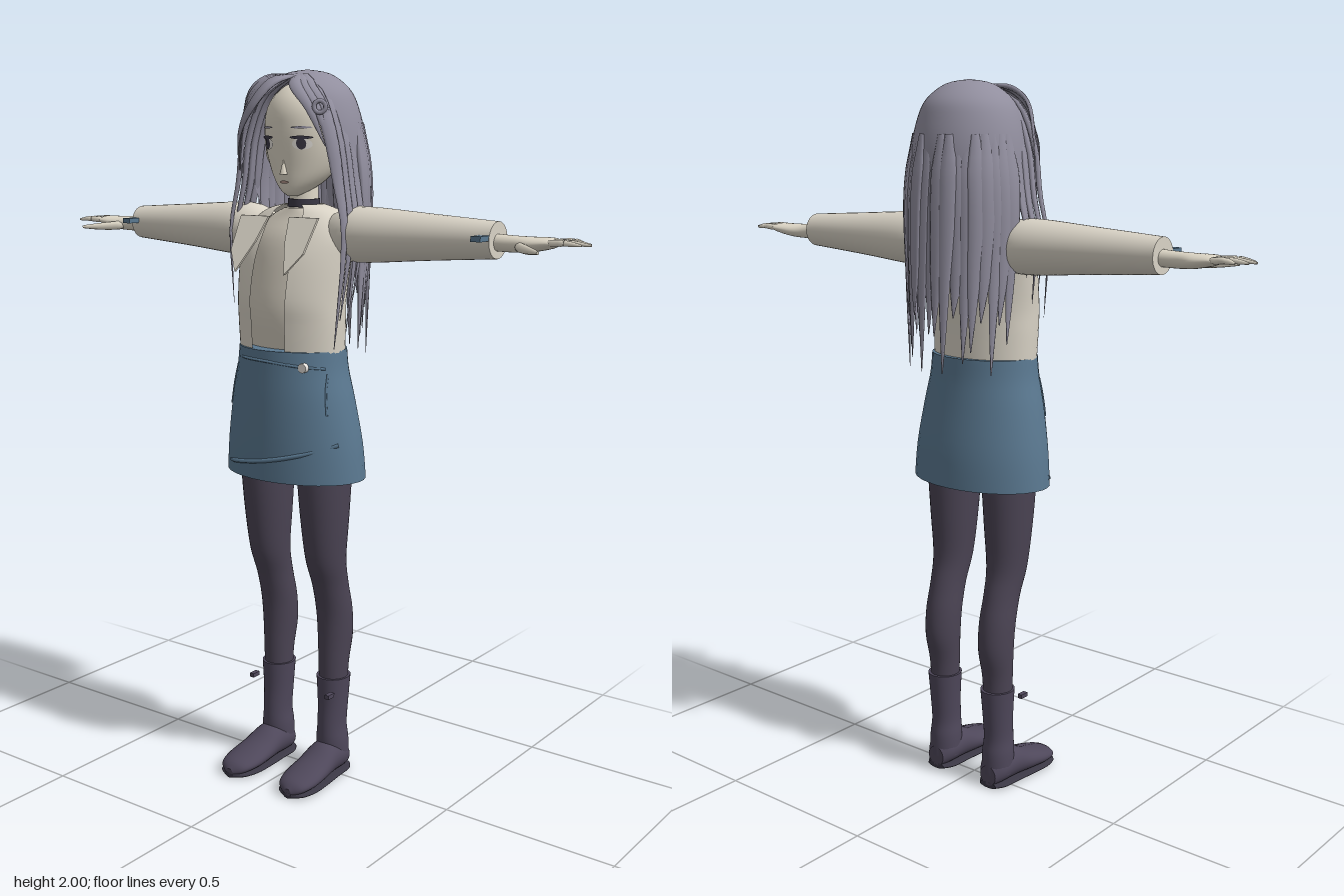
import * as THREE from 'three';

const V = (x, y, z) => new THREE.Vector3(x, y, z);
const mat = (name, color, side = THREE.FrontSide) => {
  const m = new THREE.MeshStandardMaterial({ color, side });
  m.name = name;
  return m;
};

// Catmull-Rom refinement of a table of cross-sections
const cr = (a, b, c, d, t) => 0.5 * (2 * b + (c - a) * t + (2 * a - 5 * b + 4 * c - d) * t * t + (3 * b - a - 3 * c + d) * t ** 3);
function smooth(rows, n = 4) {
  const out = [];
  const at = (i) => rows[Math.min(Math.max(i, 0), rows.length - 1)];
  for (let i = 0; i < rows.length - 1; i++)
    for (let k = 0; k < n; k++)
      out.push(rows[i].map((_, c) => cr(at(i - 1)[c], at(i)[c], at(i + 1)[c], at(i + 2)[c], k / n)));
  out.push(rows.at(-1));
  return out;
}

// Surface through rings of points, optionally closed around and capped
function skin(rings, closed = true, startCap = true, endCap = true) {
  const pos = [], idx = [], n = rings[0].length;
  rings.forEach((r) => r.forEach((p) => pos.push(p.x, p.y, p.z)));
  for (let i = 0; i < rings.length - 1; i++)
    for (let j = 0; j < (closed ? n : n - 1); j++) {
      const a = i * n + j, b = i * n + (j + 1) % n;
      idx.push(a, b, a + n, b, b + n, a + n);
    }
  const cap = (ring, flip) => {
    const o = pos.length / 3, c = V(0, 0, 0);
    ring.forEach((p) => { pos.push(p.x, p.y, p.z); c.addScaledVector(p, 1 / n); });
    pos.push(c.x, c.y, c.z);
    for (let j = 0; j < n; j++) {
      const k = (j + 1) % n;
      idx.push(o + n, o + (flip ? k : j), o + (flip ? j : k));
    }
  };
  if (closed && startCap) cap(rings[0], true);
  if (closed && endCap) cap(rings.at(-1), false);
  const g = new THREE.BufferGeometry();
  g.setAttribute('position', new THREE.Float32BufferAttribute(pos, 3));
  g.setIndex(idx);
  g.computeVertexNormals();
  return g;
}
const ring = (c, u, v, a, b, n = 32) => Array.from({ length: n }, (_, j) => {
  const t = j / n * Math.PI * 2;
  return c.clone().addScaledVector(u, a * Math.cos(t)).addScaledVector(v, b * Math.sin(t));
});
const X = V(1, 0, 0), Y = V(0, 1, 0), Z = V(0, 0, 1);
// Upright body from rows [y, centreZ, radiusX, radiusZ]
const upright = (rows, cx = 0, top = true, bottom = true) =>
  skin(rows.map(([y, cz, rx, rz]) => ring(V(cx, y, cz), Z, X, rz, rx)), true, bottom, top);
// Shell open at the front, from rows top to bottom [y, centreZ, radiusX, radiusZ, halfAngle]
const shell = (rows) => skin(rows.map(([y, cz, rx, rz, h]) => Array.from({ length: 49 }, (_, j) => {
  const a = (j / 24 - 1) * h * Math.PI / 180;
  return V(rx * Math.sin(a), y, cz - rz * Math.cos(a));
})), false);
// Front depth of an upright body
function frontZ(rows, x, y) {
  let i = 0;
  while (i < rows.length - 2 && rows[i + 1][0] < y) i++;
  const t = THREE.MathUtils.clamp((y - rows[i][0]) / (rows[i + 1][0] - rows[i][0]), 0, 1);
  const [cz, rx, rz] = [1, 2, 3].map((c) => rows[i][c] + (rows[i + 1][c] - rows[i][c]) * t);
  return cz + rz * Math.sqrt(Math.max(0, 1 - (x / rx) ** 2));
}
// Thin painted plate lying on the front of a body, rows [y, xLeft, xRight]
const plate = (body, rows, off = 0.004) => skin(rows.map(([y, a, b]) => Array.from({ length: 9 }, (_, j) => {
  const x = a + (b - a) * j / 8;
  return V(x, y, frontZ(body, x, y) + off);
})), false);
const oval = (cx, cy, rx, ry) => Array.from({ length: 11 }, (_, i) => {
  const a = (i / 10 - 0.5) * Math.PI, w = rx * Math.cos(a);
  return [cy + ry * Math.sin(a), cx - w, cx + w];
});
// Tapering lock or finger along a path
function strand(pts, width, thick, taper = 0.95, sides = 8) {
  const curve = new THREE.CatmullRomCurve3(pts.map((p) => V(...p))), n = 16;
  return skin(Array.from({ length: n + 1 }, (_, i) => {
    const t = i / n, p = curve.getPoint(t), d = curve.getTangent(t);
    const nrm = V(p.x, p.y - Math.min(p.y, 1.82), p.z + 0.02);
    nrm.addScaledVector(d, -nrm.dot(d)).normalize();
    const k = Math.min(1, 0.4 + 3 * t) * (1 - taper * t ** 2.5);
    return ring(p, V(0, 0, 0).crossVectors(nrm, d), nrm, width * k, thick * k, sides);
  }));
}
const seam = (body, pts, r) => new THREE.TubeGeometry(
  new THREE.CatmullRomCurve3(pts.map(([x, y]) => V(x, y, frontZ(body, x, y)))), 30, r, 6);

export function createModel() {
  const D = THREE.DoubleSide;
  const M = {
    skin: mat('skin', 0xdfd8c8), jacket: mat('jacket cream', 0xd9d3c6, D), shirt: mat('shirt cream', 0xd2cbbd),
    hair: mat('hair lilac grey', 0x918e9e, D), skirt: mat('skirt blue', 0x5a7890, D), tights: mat('tights', 0x4b4454),
    boots: mat('boots', 0x4e475a), dark: mat('dark detail', 0x3a3744), white: mat('eye white', 0xeeeae4), lips: mat('lips', 0xb09488),
  };
  const model = new THREE.Group();
  const add = (name, geo, m, parent = model) => {
    const o = new THREE.Mesh(geo, m);
    o.name = name;
    parent.add(o);
    return o;
  };

  // Shirt and open jacket
  const shirt = smooth([[1.24, 0.035, 0.14, 0.09], [1.35, 0.04, 0.145, 0.095], [1.45, 0.03, 0.15, 0.09], [1.55, 0.015, 0.15, 0.08], [1.61, 0, 0.1, 0.06], [1.635, 0, 0.05, 0.048]]);
  add('shirt', upright(shirt), M.shirt);
  add('jacket', shell(smooth([[1.645, -0.005, 0.055, 0.055, 150], [1.625, 0, 0.12, 0.072, 155], [1.57, 0.015, 0.172, 0.093, 161], [1.5, 0.035, 0.172, 0.108, 160],
    [1.4, 0.05, 0.165, 0.116, 159], [1.33, 0.05, 0.164, 0.114, 160], [1.255, 0.048, 0.161, 0.112, 160]])), M.jacket);

  // Skirt with wrap edge, waist seam and button
  const skirt = smooth([[0.9, 0.032, 0.217, 0.148], [1.0, 0.035, 0.208, 0.145], [1.12, 0.042, 0.187, 0.135], [1.2, 0.045, 0.168, 0.128], [1.26, 0.045, 0.161, 0.125]]);
  add('skirt', upright(skirt, 0, true, false), M.skirt);
  add('wrapEdge', seam(skirt, [[-0.206, 0.925], [-0.12, 0.937], [0, 0.957], [0.1, 0.98], [0.19, 1.01]], 0.006), M.skirt);
  add('waistSeam', seam(skirt, [[-0.155, 1.23], [-0.08, 1.233], [0, 1.232], [0.1, 1.222], [0.15, 1.215]], 0.004), M.skirt);
  const button = add('skirtButton', new THREE.CylinderGeometry(0.013, 0.013, 0.014, 16), M.white);
  button.rotation.x = Math.PI / 2;
  button.position.set(0.11, 1.22, frontZ(skirt, 0.11, 1.22) + 0.004);

  // Neck, choker and head
  add('neck', new THREE.CylinderGeometry(0.038, 0.042, 0.13, 24).translate(0, 1.665, -0.005), M.skin);
  add('choker', new THREE.CylinderGeometry(0.044, 0.045, 0.022, 24).translate(0, 1.648, -0.005), M.dark);
  const head = smooth([[1.667, 0.045, 0.012, 0.014], [1.68, 0.032, 0.035, 0.042], [1.705, 0.012, 0.065, 0.068], [1.74, -0.004, 0.09, 0.088], [1.79, -0.01, 0.108, 0.1],
    [1.84, -0.014, 0.115, 0.108], [1.89, -0.018, 0.11, 0.11], [1.93, -0.02, 0.088, 0.095], [1.96, -0.02, 0.05, 0.06], [1.972, -0.02, 0.004, 0.004]]);
  add('head', upright(head), M.skin);
  const nose = add('nose', new THREE.ConeGeometry(0.011, 0.045, 8), M.skin);
  nose.position.set(0, 1.748, frontZ(head, 0, 1.748));
  add('mouth', plate(head, oval(0, 1.705, 0.015, 0.004)), M.lips);
  for (const s of [1, -1]) {
    const x = 0.056 * s;
    add('eyeWhite', plate(head, oval(x, 1.805, 0.024, 0.015), 0.003), M.white);
    add('iris', plate(head, oval(x, 1.806, 0.012, 0.015), 0.005), M.dark);
    add('upperLash', plate(head, oval(x, 1.822, 0.028, 0.0045), 0.006), M.dark);
    add('eyebrow', plate(head, oval(x, 1.848, 0.026, 0.003)), M.hair);
    const ear = add('ear', new THREE.SphereGeometry(1, 14, 10), M.skin);
    ear.scale.set(0.014, 0.036, 0.022);
    ear.rotation.z = -0.3 * s;
    ear.position.set(0.114 * s, 1.775, -0.012);
  }

  // Hair cap and back curtain
  const hair = new THREE.Group();
  hair.name = 'hair';
  model.add(hair);
  add('hairCap', shell(smooth([[2, -0.02, 0.001, 0.001, 180], [1.988, -0.02, 0.065, 0.06, 180], [1.95, -0.02, 0.115, 0.112, 166], [1.9, -0.02, 0.142, 0.134, 136],
    [1.82, -0.022, 0.16, 0.148, 112], [1.7, -0.022, 0.168, 0.152, 100], [1.6, -0.022, 0.168, 0.156, 82], [1.5, -0.022, 0.155, 0.16, 72]])), M.hair, hair);
  for (let i = 0; i < 19; i++) {
    const a = (i - 9) / 9 * 1.42, end = 1.31 + 0.08 * Math.sin(i * 2.4), r = 0.006 * Math.cos(i * 1.7);
    const at = (y, rx, rz) => [rx * Math.sin(a), y, -0.022 - (rz + r) * Math.cos(a)];
    add('backLock', strand([at(1.86, 0.15, 0.138), at(1.7, 0.172, 0.155), at(1.5, 0.165, 0.166), at(end, 0.155, 0.174)], 0.027, 0.011), M.hair, hair);
  }
  // Long locks beside the face
  for (const s of [1, -1]) {
    for (let k = 0; k < 4; k++) {
      const z = 0.075 - 0.027 * k, end = (s > 0 ? 1.27 : 1.37) + 0.055 * (k % 2) + 0.02 * k;
      add('sideLock', strand([[0.02 * s, 1.985, 0.03 - k * 0.01], [0.095 * s, 1.935, z * 0.9], [0.145 * s, 1.83, z], [0.17 * s, 1.7, z - 0.005],
        [0.193 * s, 1.58, z], [0.172 * s, end, z + 0.015]], 0.022, 0.009), M.hair, hair);
    }
  }
  // Swept fringe: full on the right, sparse on the left
  for (let k = 0; k < 5; k++)
    add('fringe', strand([[0.02 - k * 0.012, 1.986, 0.03], [-0.015 - k * 0.015, 1.965 + k * 0.003, 0.115 - k * 0.012], [-0.065 - k * 0.012, 1.895 + k * 0.012, 0.148 - k * 0.016],
      [-0.115 - k * 0.008, 1.83 + k * 0.006, 0.13 - k * 0.015], [-0.145 - k * 0.006, 1.755 - k * 0.02, 0.1 - k * 0.012]], 0.024, 0.007), M.hair, hair);
  for (let k = 0; k < 3; k++)
    add('leftFringe', strand([[0.015 + k * 0.01, 1.986, 0.035], [0.055 + k * 0.012, 1.955, 0.105 - k * 0.015], [0.105 + k * 0.01, 1.9, 0.115 - k * 0.02], [0.137 + k * 0.005, 1.8, 0.085 - k * 0.01]], 0.018, 0.007), M.hair, hair);
  const clip = add('hairClip', new THREE.TorusGeometry(0.015, 0.006, 8, 16), M.hair, hair);
  clip.position.set(0.13, 1.9, 0.1);
  clip.rotation.y = 0.6;

  for (const s of [1, -1]) {
    // Pointed lapel flaring forward
    const lapel = new THREE.ExtrudeGeometry(new THREE.Shape([[0.035, 1.615], [0.05, 1.55], [0.083, 1.47], [0.122, 1.525], [0.13, 1.615]].map(([x, y]) => new THREE.Vector2(x * s, y))), { depth: 0.008, bevelEnabled: false });
    const p = lapel.attributes.position;
    for (let i = 0; i < p.count; i++) p.setZ(i, p.getZ(i) + 0.1 + (1.615 - p.getY(i)) * 0.6);
    lapel.computeVertexNormals();
    add('lapel', lapel, M.jacket);

    // Sleeve, cuff tab and hand
    const along = (rows) => skin(smooth(rows).map(([x, cy, cz, ry, rz]) => ring(V(x * s, cy, cz), Y, V(0, 0, s), ry, rz)));
    add('sleeve', along([[0.1, 1.565, 0, 0.05, 0.05], [0.15, 1.568, 0, 0.07, 0.07], [0.22, 1.57, 0, 0.074, 0.076], [0.4, 1.572, -0.002, 0.061, 0.062], [0.605, 1.573, -0.005, 0.047, 0.047]]), M.jacket);
    add('cuffTab', new THREE.BoxGeometry(0.028, 0.014, 0.045).translate(0.59 * s, 1.58, 0.06), M.skirt);
    add('palm', along([[0.59, 1.568, -0.005, 0.022, 0.023], [0.65, 1.566, -0.005, 0.021, 0.024], [0.7, 1.567, -0.008, 0.019, 0.036], [0.75, 1.572, -0.01, 0.014, 0.038], [0.765, 1.573, -0.01, 0.008, 0.034]]), M.skin);
    for (let f = 0; f < 4; f++) {
      const z = 0.017 - f * 0.018, tip = [0.845, 0.86, 0.85, 0.825][f];
      add('finger', strand([[0.74 * s, 1.573, z], [0.8 * s, 1.576, z * 1.15 + 0.002], [tip * s, 1.572, z * 1.2 + 0.002]], 0.009, 0.009, 0.7), M.skin);
    }
    add('thumb', strand([[0.66 * s, 1.562, 0.005], [0.71 * s, 1.558, 0.045], [0.765 * s, 1.556, 0.09]], 0.013, 0.013, 0.7), M.skin);

    // Leg and boot
    const cx = 0.1 * s;
    add('leg', upright(smooth([[0.2, -0.015, 0.038, 0.042], [0.33, -0.016, 0.043, 0.045], [0.42, -0.024, 0.049, 0.054], [0.5, -0.018, 0.051, 0.055], [0.58, 0.002, 0.05, 0.056],
      [0.66, 0.024, 0.056, 0.062], [0.78, 0.03, 0.066, 0.074], [0.9, 0.032, 0.073, 0.083], [1.0, 0.032, 0.075, 0.085]]), cx), M.tights);
    add('bootShaft', upright(smooth([[0.04, -0.015, 0.046, 0.046], [0.1, -0.012, 0.046, 0.049], [0.15, -0.01, 0.041, 0.046], [0.22, -0.014, 0.043, 0.047], [0.298, -0.016, 0.048, 0.052]]), cx), M.boots);
    const foot = smooth([[-0.06, 0.028, 0.03], [-0.03, 0.046, 0.045], [0.03, 0.05, 0.048], [0.09, 0.055, 0.035], [0.15, 0.056, 0.026], [0.195, 0.042, 0.019], [0.214, 0.012, 0.01]]);
    const outX = (z) => cx + s * Math.max(0, z) * 0.03;
    add('bootFoot', skin(foot.map(([z, w, h]) => ring(V(outX(z), h + 0.008, z), X, Y, w, h))), M.boots);
    add('sole', skin(foot.map(([z, w]) => ring(V(outX(z), 0.009, z), X, Y, w + 0.002, 0.009))), M.dark);
    add('bootToggle', new THREE.BoxGeometry(0.014, 0.012, 0.028).translate(0.137 * s, 0.262, 0.055), M.boots);
    // Pocket seam
    add('pocketSeam', seam(skirt, [[0.155 * s, 1.2], [0.158 * s, 1.15], [0.165 * s, 1.09]], 0.003), M.skirt);
  }
  return model;
}
